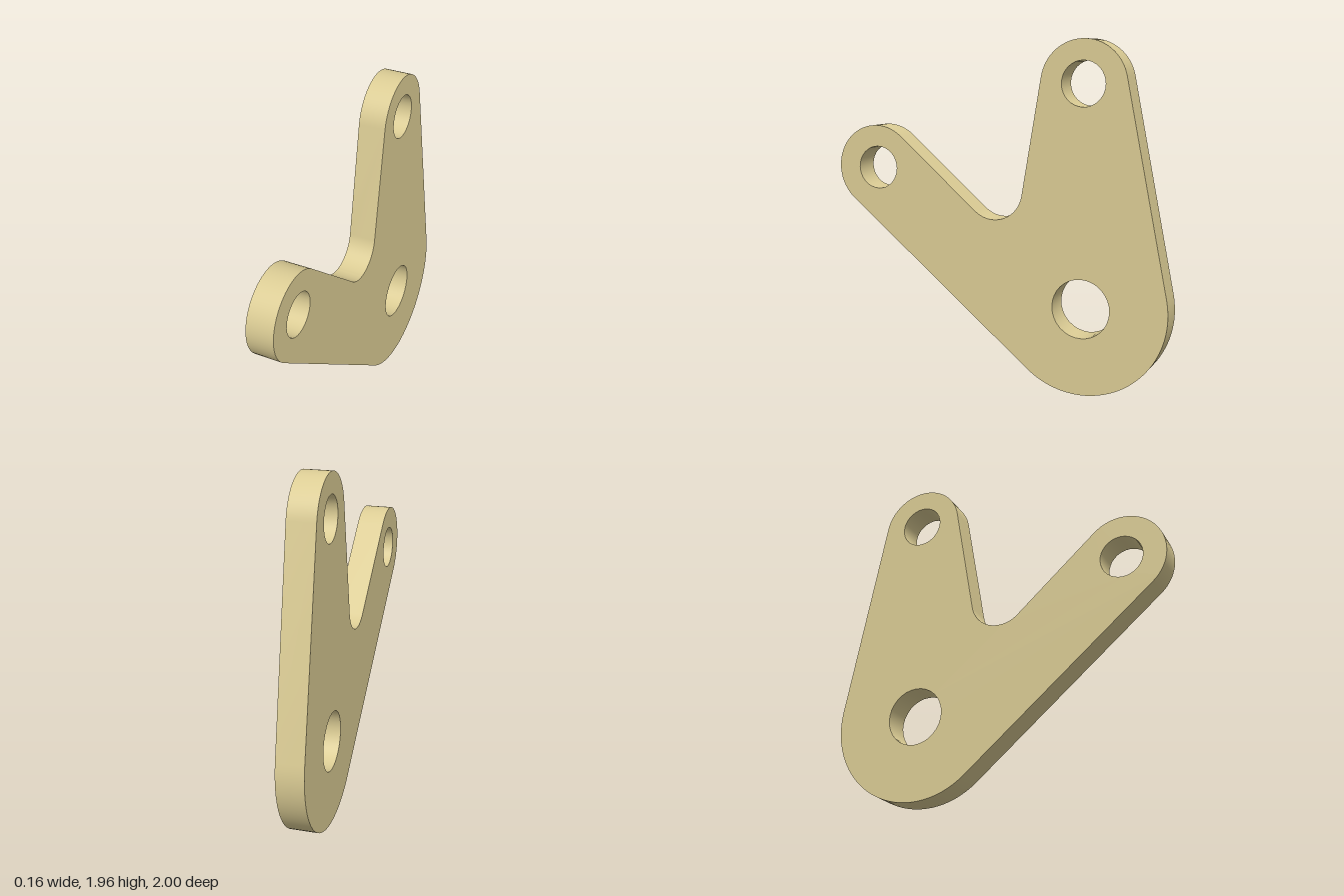
import * as THREE from 'three';
import { toCreasedNormals } from 'three/addons/utils/BufferGeometryUtils.js';

const THICKNESS = 0.155;

// Corner circles in order around the outline, as (z, y); a negative radius is a concave fillet
const corners = [
  { z: -0.51, y: 0.49, r: 0.49, hole: 0.166 },   // main pivot
  { z: 0.755, y: 1.22, r: 0.245, hole: 0.123, holeZ: 0.745 },  // forward arm end
  { z: 0.01, y: 1.127, r: -0.172 },              // inner fillet
  { z: -0.512, y: 1.713, r: 0.245, hole: 0.124, holeY: 1.72 }, // upright arm end
];

// Direction of the outward normal of the line tangent to two corner circles
function tangentAngle(a, b) {
  const dz = b.z - a.z, dy = b.y - a.y;
  return Math.atan2(dy, dz) - Math.acos((a.r - b.r) / Math.hypot(dz, dy));
}

export function createModel() {
  const group = new THREE.Group();
  group.name = 'bellcrank';

  // Outline: an arc at every corner, joined by tangent lines
  const shape = new THREE.Shape();
  const n = corners.length;
  corners.forEach((c, i) => {
    const start = tangentAngle(corners[(i + n - 1) % n], c);
    const end = tangentAngle(c, corners[(i + 1) % n]);
    const flip = c.r < 0 ? Math.PI : 0;
    shape.absarc(c.z, c.y, Math.abs(c.r), start + flip, end + flip, c.r < 0);
  });
  shape.closePath();

  // Bolt holes
  for (const c of corners) {
    if (!c.hole) continue;
    const hole = new THREE.Path();
    hole.absarc(c.holeZ ?? c.z, c.holeY ?? c.y, c.hole, 0, Math.PI * 2, true);
    shape.holes.push(hole);
  }

  // Plate extruded across x
  const geometry = new THREE.ExtrudeGeometry(shape, {
    depth: THICKNESS, bevelEnabled: false, curveSegments: 16,
  });
  geometry.translate(0, 0, -THICKNESS / 2);
  geometry.rotateY(-Math.PI / 2);

  const plate = new THREE.Mesh(
    toCreasedNormals(geometry, 0.6),
    new THREE.MeshStandardMaterial({ color: 0xdccd95 }),
  );
  plate.name = 'leverPlate';
  group.add(plate);
  return group;
}
